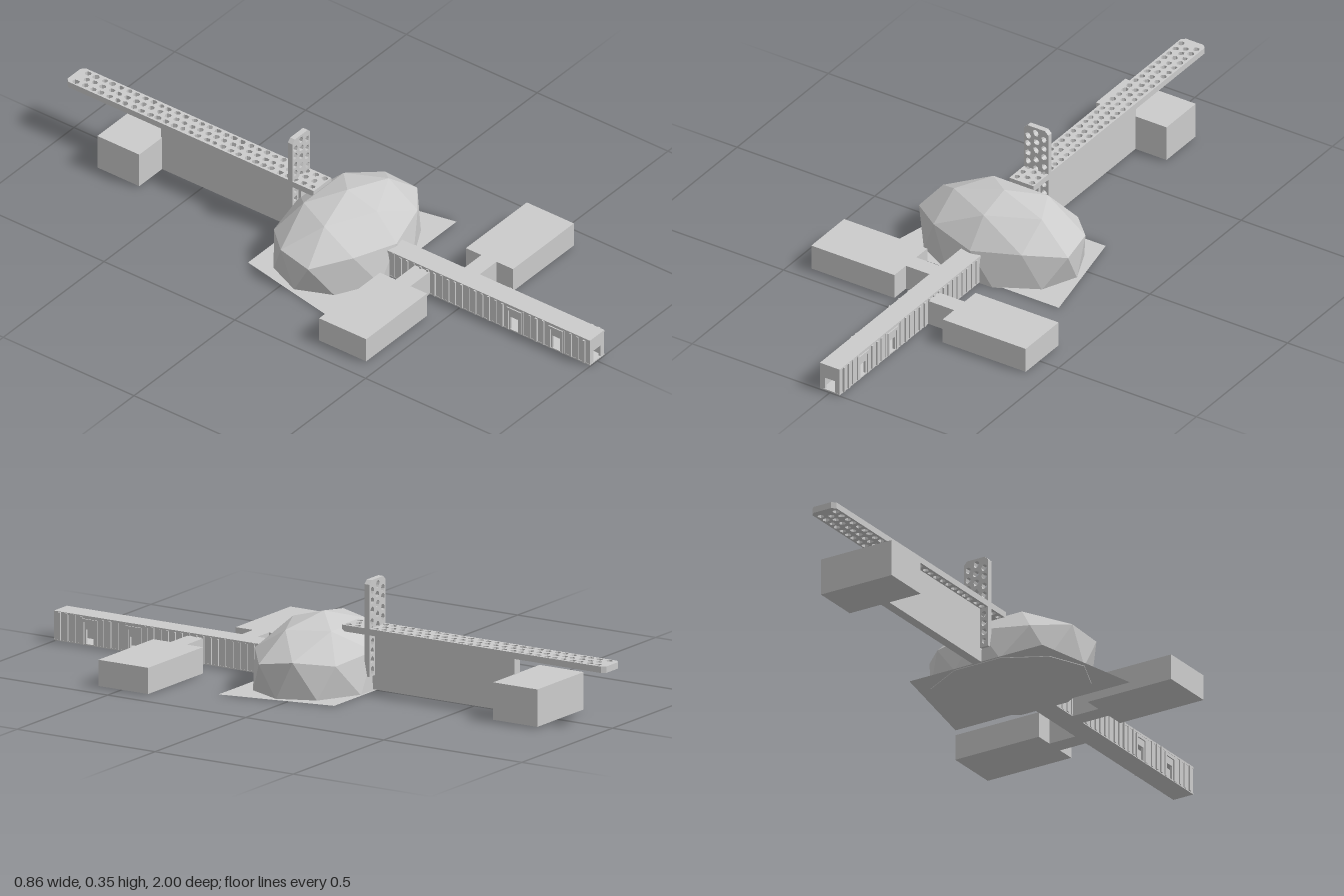
import * as THREE from 'three';
import { ConvexGeometry } from 'three/addons/geometries/ConvexGeometry.js';

const mat = new THREE.MeshStandardMaterial({ color: 0xcccccc, flatShading: true, side: THREE.DoubleSide });

let seed = 7;
const rand = () => (seed = (seed * 16807) % 2147483647) / 2147483647;
const jitter = (a) => (rand() * 2 - 1) * a;

export function createModel() {
  const model = new THREE.Group();

  const add = (name, geometry, parent = model) => {
    const mesh = new THREE.Mesh(geometry, mat);
    mesh.name = name;
    parent.add(mesh);
    return mesh;
  };
  // Box given by its limits on each axis
  const box = (name, x0, x1, y0, y1, z0, z1, parent) => {
    const g = new THREE.BoxGeometry(x1 - x0, y1 - y0, z1 - z0);
    g.translate((x0 + x1) / 2, (y0 + y1) / 2, (z0 + z1) / 2);
    return add(name, g, parent);
  };
  const polygon = (points) => points.map(([x, y]) => new THREE.Vector2(x, y));

  // Faceted dome: pole, five upper points, ten shoulder points, ten foot points
  const domePoints = [new THREE.Vector3(0, 0.222, 0.045)];
  const ring = (count, start, rx, rz, y) => {
    for (let i = 0; i < count; i++) {
      const a = THREE.MathUtils.degToRad(start + (i * 360) / count);
      domePoints.push(new THREE.Vector3(rx * Math.cos(a), y, 0.045 + rz * Math.sin(a)));
    }
  };
  ring(5, 18, 0.168, 0.112, 0.19);
  ring(5, 18, 0.285, 0.188, 0.103);
  ring(5, 54, 0.272, 0.18, 0.12);
  ring(10, 0, 0.265, 0.198, 0);
  add('dome', new ConvexGeometry(domePoints));

  // Tapered ground sheet under the dome
  const ground = new THREE.ShapeGeometry(
    new THREE.Shape(polygon([[-0.315, -0.22], [0.315, -0.22], [0.24, 0.15], [-0.24, 0.15]]))
  );
  ground.rotateX(-Math.PI / 2);
  ground.translate(0, 0.002, 0);
  add('groundSheet', ground);

  // Side rooms with short links to the entrance corridor
  for (const [side, z0, z1, link0, link1] of [[-1, 0.27, 0.45, 0.33, 0.387], [1, 0.398, 0.578, 0.457, 0.515]]) {
    const span = (a, b) => (side > 0 ? [a, b] : [-b, -a]);
    box('sideRoom', ...span(0.13, 0.432), 0.003, 0.085, z0, z1);
    box('sideRoomLink', ...span(0.03, 0.13), 0.003, 0.085, link0, link1);
  }

  // Entrance corridor: roof, floor and walls cut by doorways
  const corridor = new THREE.Group();
  corridor.name = 'corridor';
  model.add(corridor);
  box('corridorRoof', -0.036, 0.036, 0.088, 0.095, 0.2, 1, corridor);
  box('corridorFloor', -0.036, 0.036, 0.003, 0.007, 0.2, 1, corridor);
  const doors = [0.71, 0.87];
  const wallOutline = [[0.2, 0.004]];
  for (const z of doors) {
    wallOutline.push([z - 0.014, 0.004], [z - 0.014, 0.052], [z + 0.014, 0.052], [z + 0.014, 0.004]);
  }
  wallOutline.push([1, 0.004], [1, 0.09], [0.2, 0.09]);
  const wallShape = new THREE.Shape(polygon(wallOutline));
  for (const side of [-1, 1]) {
    const wall = new THREE.ExtrudeGeometry(wallShape, { depth: 0.008, bevelEnabled: false });
    wall.rotateY(-Math.PI / 2);
    wall.translate(side * 0.031 + 0.004, 0, 0);
    add('corridorWall', wall, corridor);
    // Uneven ribs along the wall, left out at the doorways
    for (let z = 0.25; z < 0.99; z += 0.026) {
      if (doors.some((d) => Math.abs(z - d) < 0.03)) continue;
      const out = 0.037 + rand() * 0.004;
      const rib = box('wallRib', -0.004, 0.004, 0.006, 0.088 + rand() * 0.006, -0.004, 0.004, corridor);
      rib.position.set(side * (out - 0.004), 0, z);
    }
    // Raised frame around each doorway
    for (const d of doors) {
      const x = side * 0.036;
      box('doorLintel', x - 0.003, x + 0.003, 0.075, 0.085, d - 0.028, d + 0.028, corridor);
      for (const s of [-1, 1]) {
        box('doorPost', x - 0.003, x + 0.003, 0.005, 0.08, d + s * 0.024 - 0.004, d + s * 0.024 + 0.004, corridor);
      }
    }
  }
  // End wall with the front doorway
  const endWall = new THREE.ExtrudeGeometry(
    new THREE.Shape(polygon([
      [-0.034, 0.004], [-0.018, 0.004], [-0.018, 0.047], [0.018, 0.047],
      [0.018, 0.004], [0.034, 0.004], [0.034, 0.09], [-0.034, 0.09],
    ])),
    { depth: 0.008, bevelEnabled: false }
  );
  endWall.translate(0, 0, 0.991);
  add('corridorEndWall', endWall, corridor);

  // Perforated slab with irregular cells, lying in x-y
  const latticeSlab = (length, depth) => {
    const w = 0.044;
    const c = 0.012;
    const shape = new THREE.Shape(polygon([
      [-w, 0], [w, 0], [w, length - c], [w - c, length], [c - w, length], [-w, length - c],
    ]));
    const pitch = 0.031;
    for (let row = -1; row <= 1; row++) {
      const start = row === 0 ? 0.033 : 0.018;
      for (let y = start; y < length - 0.018; y += pitch) {
        const cx = row * 0.0285 + jitter(0.0015);
        const cy = y + jitter(0.0025);
        const hole = [];
        for (let i = 0; i < 7; i++) {
          const a = (-i / 7) * Math.PI * 2;
          const r = 0.0098 + jitter(0.0018);
          hole.push([cx + r * Math.cos(a), cy + r * 1.1 * Math.sin(a)]);
        }
        shape.holes.push(new THREE.Path(polygon(hole)));
      }
    }
    return new THREE.ExtrudeGeometry(shape, { depth, bevelEnabled: false });
  };

  // Long walkway to the rear and upright tower behind the dome
  const walkway = latticeSlab(0.95, 0.02);
  walkway.rotateX(-Math.PI / 2);
  walkway.translate(0, 0.18, -0.05);
  add('walkway', walkway);
  const tower = latticeSlab(0.3, 0.018);
  tower.translate(0, 0.05, -0.149);
  add('tower', tower);

  // Wall carrying the walkway and the rear room
  box('supportWall', -0.015, 0.015, 0.005, 0.181, -0.655, -0.12);
  box('rearRoom', -0.128, 0.128, 0.005, 0.122, -0.812, -0.652);

  return model;
}
